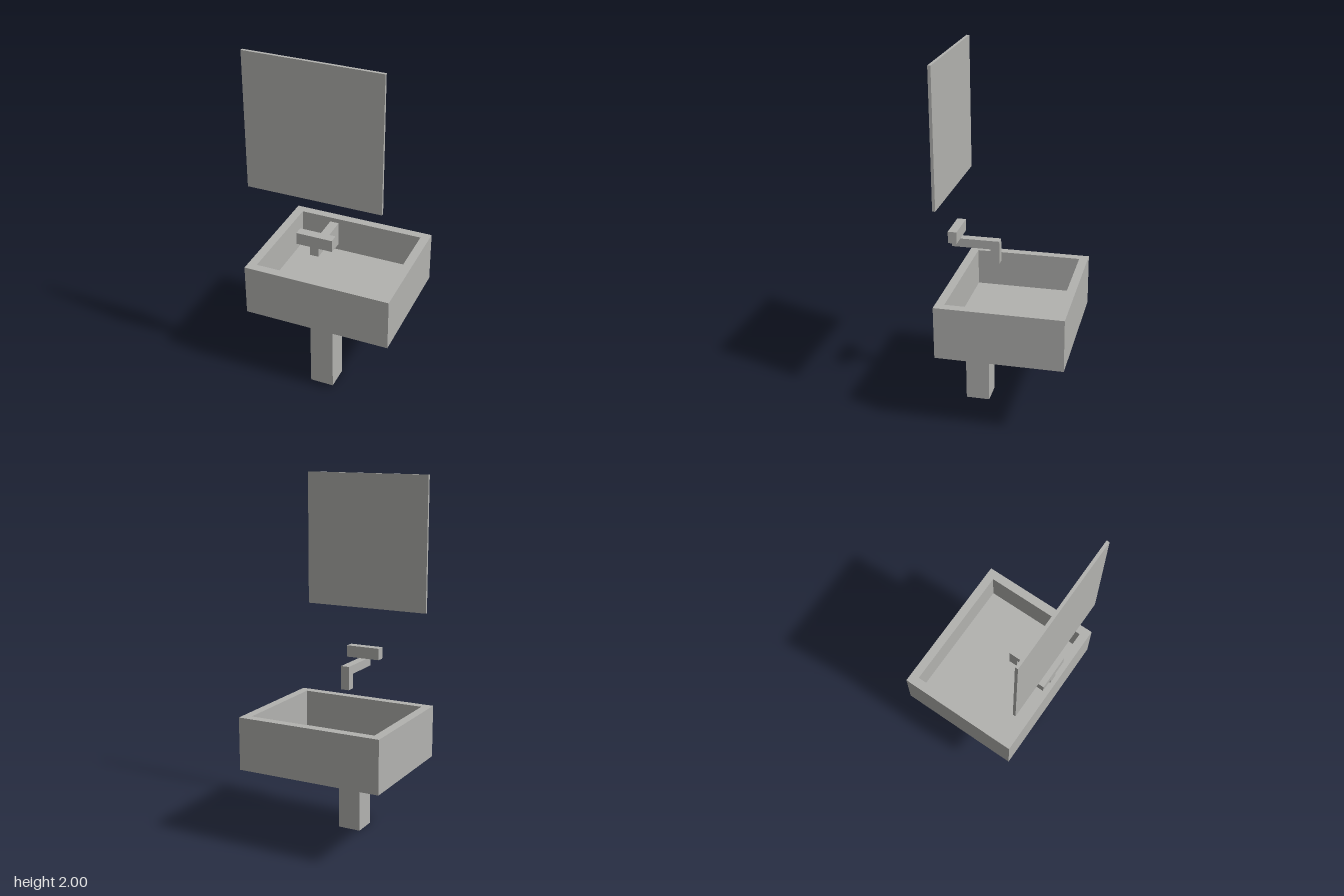
import * as THREE from 'three';

export function createModel() {
  const group = new THREE.Group();
  const grey = new THREE.MeshStandardMaterial({ color: 0xb3b3b0 });
  grey.name = 'grey';

  const add = (name, geometry) => {
    const mesh = new THREE.Mesh(geometry, grey);
    mesh.name = name;
    group.add(mesh);
  };

  // Box given by its extents; every box is centred on x = 0
  const block = (name, width, y0, y1, z0, z1) => {
    const g = new THREE.BoxGeometry(width, y1 - y0, z1 - z0);
    add(name, g.translate(0, (y0 + y1) / 2, (z0 + z1) / 2));
  };

  // Rectangle outline for shapes and holes
  const rect = (Type, hx, hz) => new Type([
    new THREE.Vector2(-hx, -hz), new THREE.Vector2(hx, -hz),
    new THREE.Vector2(hx, hz), new THREE.Vector2(-hx, hz),
  ]);

  // Pedestal and basin floor
  block('pedestal', 0.134, 0, 0.44, 0.137, 0.27);
  block('basinFloor', 0.83, 0.44, 0.525, -0.348, 0.348);

  // Basin walls: rectangular ring standing on the floor slab
  const ring = rect(THREE.Shape, 0.415, 0.348);
  ring.holes.push(rect(THREE.Path, 0.365, 0.299));
  const walls = new THREE.ExtrudeGeometry(ring, { depth: 0.21, bevelEnabled: false });
  add('basinWalls', walls.rotateX(-Math.PI / 2).translate(0, 0.525, 0));

  // Tap: handle bar, arm and downward spout
  block('tapHandle', 0.198, 0.97, 1.036, 0.299, 0.348);
  block('tapArm', 0.048, 0.921, 0.97, 0.082, 0.348);
  block('tapSpout', 0.048, 0.838, 0.921, 0.082, 0.132);

  // Mirror panel
  block('mirror', 0.732, 1.254, 2, 0.332, 0.348);

  return group;
}
